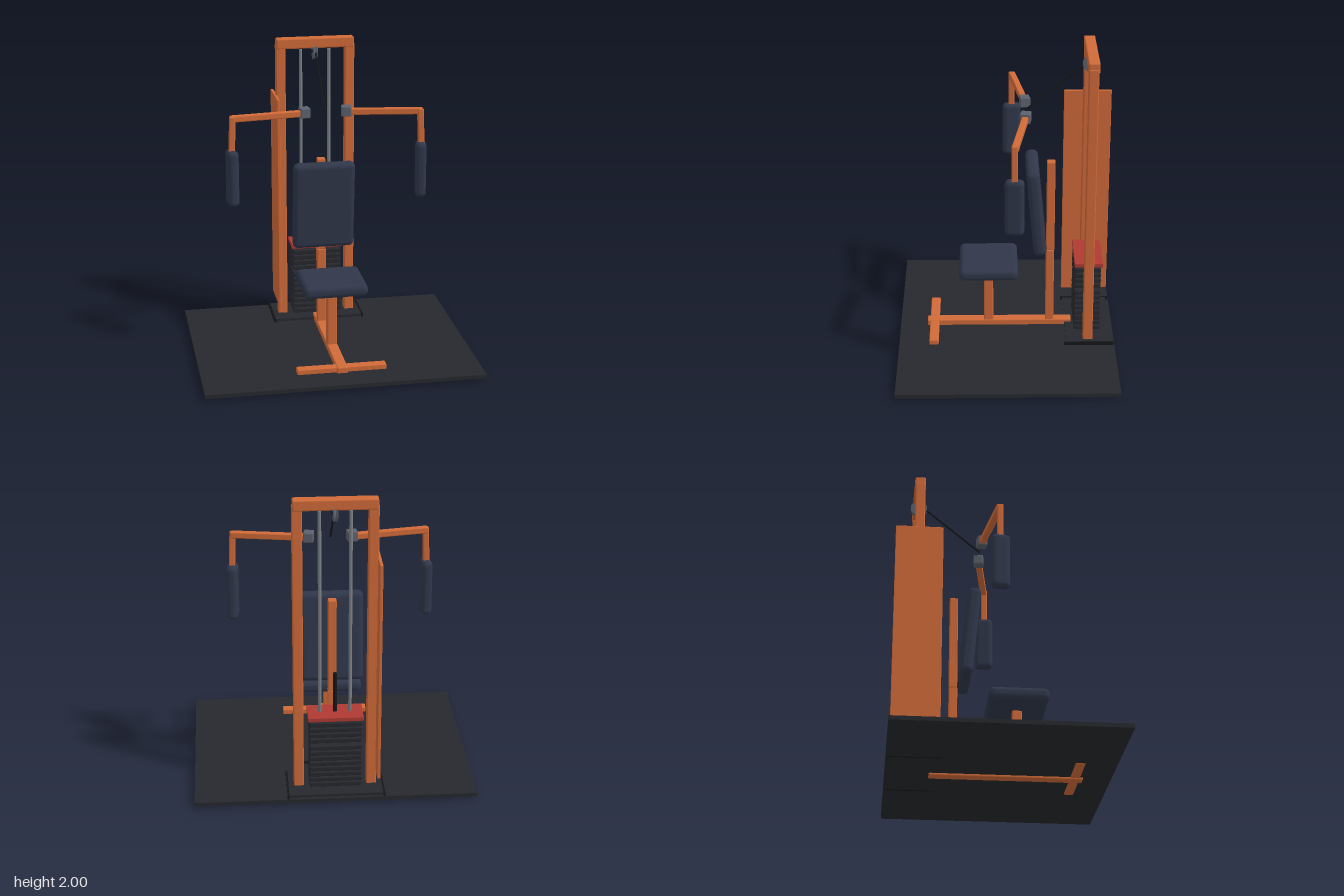
import * as THREE from 'three';
import { RoundedBoxGeometry } from 'three/addons/geometries/RoundedBoxGeometry.js';

const mat = (color) => new THREE.MeshStandardMaterial({ color });

export function createModel() {
  const model = new THREE.Group();
  const orange = mat(0xd06a38), pad = mat(0x30374a), dark = mat(0x26282d);
  const black = mat(0x151618), grey = mat(0x5c626c), steel = mat(0x7c8084), red = mat(0xb03a33);

  const add = (name, geometry, material, x, y, z, parent = model) => {
    const mesh = new THREE.Mesh(geometry, material);
    mesh.name = name;
    mesh.position.set(x, y, z);
    parent.add(mesh);
    return mesh;
  };
  // box given by its limits, with softened edges when r > 0
  const span = (name, material, [x0, x1], [y0, y1], [z0, z1], r = 0) => {
    const s = [x1 - x0, y1 - y0, z1 - z0];
    const g = r ? new RoundedBoxGeometry(...s, 3, r) : new THREE.BoxGeometry(...s);
    return add(name, g, material, (x0 + x1) / 2, (y0 + y1) / 2, (z0 + z1) / 2);
  };
  const rod = (name, material, r, a, b) => {
    const from = new THREE.Vector3(...a), to = new THREE.Vector3(...b);
    const dir = to.clone().sub(from);
    const mid = from.clone().add(to).multiplyScalar(0.5);
    const mesh = add(name, new THREE.CylinderGeometry(r, r, dir.length(), 12), material, mid.x, mid.y, mid.z);
    mesh.quaternion.setFromUnitVectors(new THREE.Vector3(0, 1, 0), dir.normalize());
    return mesh;
  };
  // square tube between two points
  const beam = (name, size, a, b) => {
    const from = new THREE.Vector3(...a), to = new THREE.Vector3(...b);
    const g = new RoundedBoxGeometry(size, size, from.distanceTo(to), 2, 0.008);
    const mid = from.clone().add(to).multiplyScalar(0.5);
    const mesh = add(name, g, orange, mid.x, mid.y, mid.z);
    mesh.lookAt(to);
    return mesh;
  };

  // Floor and base
  span('floorMat', dark, [-0.9, 0.9], [0.016, 0.042], [-0.71, 0.71]);
  span('baseSpine', orange, [-0.035, 0.035], [0, 0.08], [-0.435, 0.53], 0.008);
  span('frontFoot', orange, [-0.29, 0.29], [0.01, 0.075], [0.45, 0.512], 0.008);
  span('towerBase', dark, [-0.3, 0.3], [0.022, 0.06], [-0.69, -0.39]);

  // Tower frame
  for (const s of [-1, 1]) {
    span('baseRail', black, [s * 0.305 - 0.006, s * 0.305 + 0.006], [0.014, 0.064], [-0.705, -0.378]);
    span('upright', orange, [s * 0.232 - 0.032, s * 0.232 + 0.032], [0.05, 1.96], [-0.567, -0.503], 0.008);
    rod('guideRod', steel, 0.011, [s * 0.095, 0.06, -0.535], [s * 0.095, 1.92, -0.535]);
  }
  span('topBeam', orange, [-0.26, 0.26], [1.93, 2], [-0.572, -0.5], 0.01);
  span('sidePanel', orange, [-0.278, -0.258], [0.16, 1.62], [-0.69, -0.38], 0.004);

  // Weight stack: a lower block, and the lifted block above a small gap
  for (let i = 0; i < 12; i++) {
    const y = 0.075 + i * 0.0375 + (i > 7 ? 0.015 : 0);
    span('weightPlate', dark, [-0.165, 0.165], [y, y + 0.03], [-0.62, -0.448], 0.006);
  }
  span('topPlate', red, [-0.175, 0.175], [0.547, 0.575], [-0.632, -0.446], 0.003);
  rod('selectorRod', black, 0.013, [0, 0.07, -0.535], [0, 0.84, -0.535]);
  rod('selectorPin', black, 0.009, [0.15, 0.21, -0.535], [0.21, 0.21, -0.535]);

  // Pulley and cable
  const wheel = [[0, -0.014], [0.055, -0.014], [0.055, -0.009], [0.046, 0], [0.055, 0.009], [0.055, 0.014], [0, 0.014]];
  const pulley = add('pulley', new THREE.LatheGeometry(wheel.map((p) => new THREE.Vector2(...p)), 28), grey, 0, 1.905, -0.535);
  pulley.rotation.z = Math.PI / 2;
  pulley.material.flatShading = true;
  rod('pulleyAxle', black, 0.01, [-0.022, 1.905, -0.535], [0.022, 1.905, -0.535]);
  rod('cable', black, 0.006, [0, 1.9, -0.49], [0, 1.595, -0.125]);

  // Seat and backrest
  span('seatPost', orange, [-0.032, 0.032], [0.07, 0.455], [0.087, 0.15], 0.008);
  span('seatPad', pad, [-0.21, 0.21], [0.463, 0.547], [-0.075, 0.31], 0.035);
  span('backPostLower', orange, [-0.03, 0.03], [0.07, 0.6], [-0.317, -0.263], 0.006);
  span('backPostUpper', orange, [-0.027, 0.027], [0.6, 1.235], [-0.318, -0.264], 0.006);
  const back = add('backPad', new RoundedBoxGeometry(0.41, 0.6, 0.085, 5, 0.035), pad, 0, 0.94, -0.193);
  back.rotation.x = 0.095;

  // Press arms
  for (const s of [-1, 1]) {
    const yaw = s * -0.155;
    const hub = add('armHub', new RoundedBoxGeometry(0.066, 0.068, 0.066, 2, 0.008), grey, s * 0.137, 1.597, -0.12);
    hub.rotation.y = yaw;
    beam('pressArm', 0.042, [s * 0.14, 1.592, -0.12], [s * 0.625, 1.595, -0.045]);
    beam('armDrop', 0.04, [s * 0.612, 1.612, -0.043], [s * 0.622, 1.36, -0.043]);
    const grip = add('armPad', new RoundedBoxGeometry(0.07, 0.37, 0.12, 5, 0.03), pad, s * 0.62, 1.205, -0.043);
    grip.rotation.y = yaw;
  }
  return model;
}
